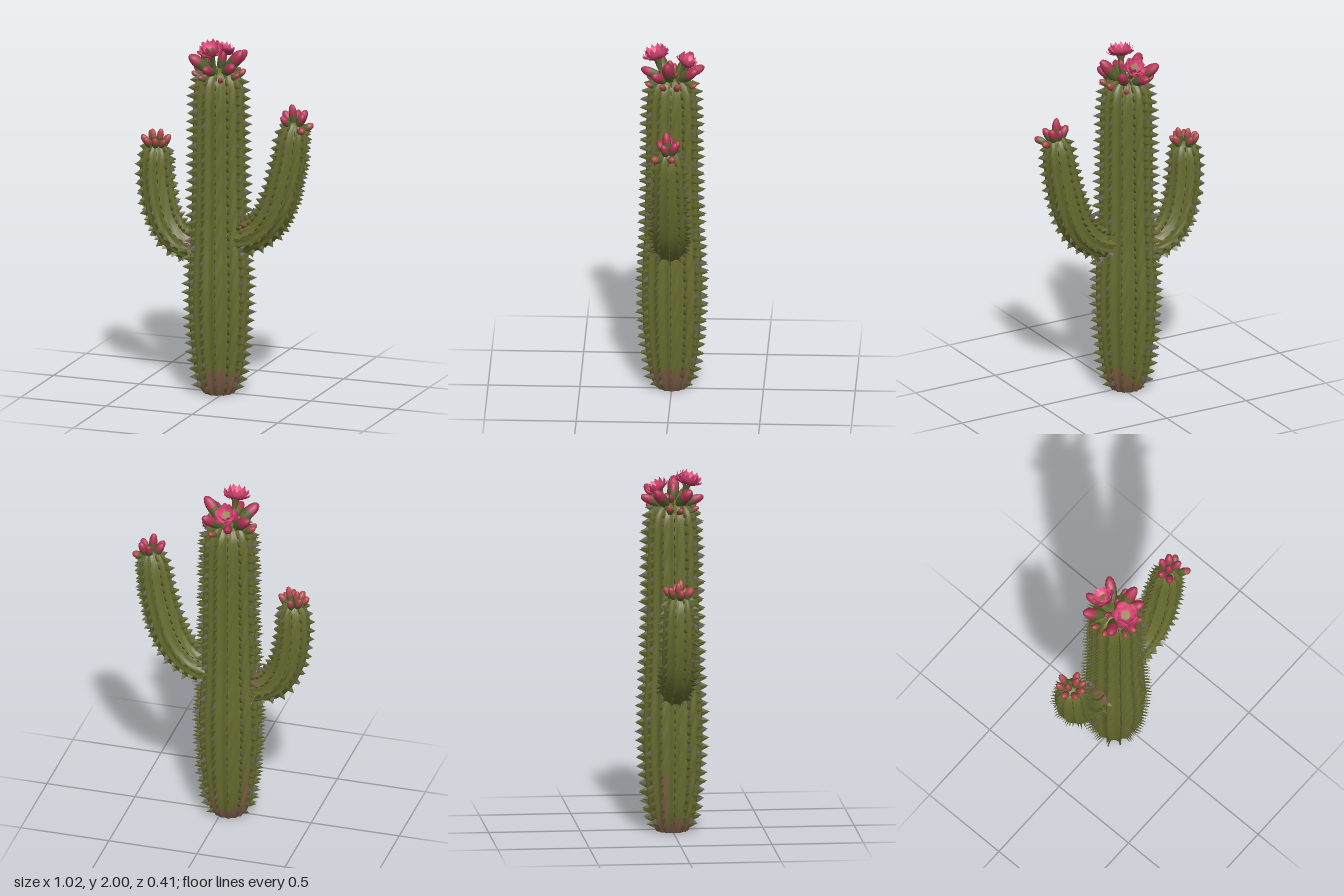
import * as THREE from 'three';
import { mergeGeometries } from 'three/addons/utils/BufferGeometryUtils.js';

const mat = (name, color, side = THREE.FrontSide) => {
  const m = new THREE.MeshStandardMaterial({ color, side });
  m.name = name;
  return m;
};
const V = (x, y, z) => new THREE.Vector3(x, y, z);

export function createModel() {
  const skin = mat('olive skin', 0x686c2f);
  const bark = mat('dry brown bark', 0x7d5c45);
  const thornOlive = mat('olive thorn', 0x60652f);
  const thornGrey = mat('grey thorn', 0x6b6b60);
  const budGreen = mat('bud green', 0x58642f);
  const budPink = mat('bud crimson', 0xb03352);
  const budSalmon = mat('bud salmon', 0xae464a);
  const petalOuter = mat('outer petal', 0xb83360, THREE.DoubleSide);
  const petalInner = mat('inner petal', 0xe84c7c, THREE.DoubleSide);
  const heart = mat('flower heart', 0x8a7f4a);

  const root = new THREE.Group();
  root.name = 'cactus';
  const add = (parent, name, geometry, material) => {
    const mesh = new THREE.Mesh(geometry, material);
    mesh.name = name;
    parent.add(mesh);
    return mesh;
  };

  // Ribbed stem along a planar path of [x, y, radius]; isDry(p) picks the bark areas
  function stem(name, path, ribs, rows, depth, isDry, thorn) {
    const group = new THREE.Group();
    group.name = name;
    root.add(group);
    const curve = new THREE.CatmullRomCurve3(path.map(([x, y, r]) => V(x, y, r)));
    const frame = (u) => {
      const p = curve.getPointAt(u), t = curve.getTangentAt(u);
      t.z = 0;
      t.normalize();
      return { c: V(p.x, p.y, 0), r: Math.max(p.z, 0.001), t };
    };
    const outward = (t, a) => V(t.y * Math.cos(a), -t.x * Math.cos(a), Math.sin(a));
    const cols = ribs * 6, pts = [];
    for (let i = 0; i <= rows; i++) {
      const f = frame(i / rows);
      for (let j = 0; j < cols; j++) {
        const a = (j / cols) * Math.PI * 2;
        const ridge = Math.abs(Math.sin((a * ribs) / 2)) ** 1.5;
        const wobble = 1 + 0.012 * Math.sin(i * 0.9 + j * 1.7);
        pts.push(outward(f.t, a).multiplyScalar(f.r * (1 - depth * ridge) * wobble).add(f.c));
      }
    }
    const green = [], dry = [];
    for (let i = 0; i < rows; i++) for (let j = 0; j < cols; j++) {
      const k = (j + 1) % cols, a = i * cols + j, c = i * cols + k;
      (isDry(pts[a]) ? dry : green).push(a, a + cols, c, c, a + cols, c + cols);
    }
    const g = new THREE.BufferGeometry().setFromPoints(pts);
    g.setIndex([...green, ...dry]);
    g.addGroup(0, green.length, 0);
    g.addGroup(green.length, dry.length, 1);
    g.computeVertexNormals();
    add(group, name + 'Body', g, [skin, bark]);

    // Narrow thorns along every rib crest, some of them withered grey
    const count = Math.floor(curve.getLength() / 0.047);
    const sets = [[], []];
    for (let rib = 0; rib < ribs; rib++) for (let i = 1; i < count; i++) {
      const f = frame((i + (rib % 2) * 0.5) / count);
      if (f.r < thorn * 1.6) continue;
      const grey = (i * 3 + rib * 5) % 4 === 0 ? 1 : 0;
      const out = outward(f.t, (rib / ribs) * Math.PI * 2);
      const side = out.clone().cross(f.t);
      const size = thorn * (0.85 + 0.3 * Math.abs(Math.sin(i * 2.3 + rib * 4.1)));
      const m = new THREE.Matrix4().makeBasis(
        side.multiplyScalar(grey ? 0.0025 : 0.005), out.clone().multiplyScalar(size + 0.008), f.t.clone().multiplyScalar(0.024));
      m.setPosition(f.c.clone().addScaledVector(out, f.r + size / 2 - 0.006));
      const cone = new THREE.ConeGeometry(1, 1, 4, 1, true).toNonIndexed().applyMatrix4(m);
      cone.computeVertexNormals();
      sets[grey].push(cone);
    }
    add(group, name + 'OliveThorns', mergeGeometries(sets[0]), thornOlive);
    add(group, name + 'GreyThorns', mergeGeometries(sets[1]), thornGrey);
  }

  // Trunk, with a dry foot and a dry streak at the back
  const X = -0.035;
  const dryFoot = (p) => p.y < 0.095 + 0.035 * Math.sin(p.x * 20 + p.z * 6 + 0.6) + 0.014 * Math.sin(p.z * 70)
    || (p.x < -0.1 && Math.abs(p.z + 0.05) < 0.018 && p.y < 0.33);
  stem('trunk', [[X, 0, 0.088], [X, 0.04, 0.108], [X, 0.12, 0.13], [X, 0.3, 0.153], [X, 0.6, 0.166], [X, 0.9, 0.153],
    [X, 1.2, 0.145], [X, 1.5, 0.142], [X, 1.7, 0.135], [X, 1.77, 0.118], [X, 1.81, 0.08], [X, 1.825, 0.04], [X, 1.83, 0]],
  14, 90, 0.1, dryFoot, 0.039);
  const base = add(root, 'trunkBase', new THREE.CircleGeometry(0.087, 28), bark);
  base.rotation.x = Math.PI / 2;
  base.position.set(X, 0.001, 0);

  // Arms, dry on top where they leave the trunk
  stem('rightArm', [[-0.1, 0.8, 0.07], [-0.2, 0.805, 0.08], [-0.28, 0.845, 0.087], [-0.345, 0.93, 0.09],
    [-0.385, 1.06, 0.091], [-0.402, 1.2, 0.088], [-0.402, 1.31, 0.078], [-0.4, 1.355, 0.055], [-0.4, 1.37, 0.03], [-0.4, 1.375, 0]],
  11, 44, 0.09, (p) => p.x > -0.21 && p.y > 0.82, 0.029);
  stem('leftArm', [[0.03, 0.87, 0.08], [0.13, 0.89, 0.088], [0.22, 0.945, 0.093], [0.295, 1.05, 0.096],
    [0.345, 1.2, 0.094], [0.38, 1.36, 0.088], [0.398, 1.49, 0.077], [0.406, 1.545, 0.052], [0.41, 1.562, 0.03], [0.411, 1.567, 0]],
  11, 50, 0.09, (p) => p.x < 0.13 && p.y > 0.92 && p.z > 0.02, 0.029);

  // Bud: a long green calyx and a coloured tip, from base point to tip point
  function bud(parent, from, to, r, tipMat) {
    const g = new THREE.Group();
    g.name = 'bud';
    const dir = to.clone().sub(from), len = dir.length();
    const shape = (pts) => new THREE.LatheGeometry(pts.map(([x, y]) => new THREE.Vector2(x * r, y * len)), 8);
    add(g, 'budCalyx', shape([[0.45, 0], [0.75, 0.15], [1, 0.36], [1.03, 0.58]]), budGreen);
    add(g, 'budTip', shape([[1, 0.56], [0.98, 0.7], [0.8, 0.84], [0.48, 0.95], [0, 1]]), tipMat);
    g.position.copy(from);
    g.quaternion.setFromUnitVectors(V(0, 1, 0), dir.normalize());
    parent.add(g);
  }
  // Cluster of buds fanning out of a crown; each entry is tip [x, y, z, radius]
  function crown(name, center, spread, tips, tipMat) {
    const g = new THREE.Group();
    g.name = name;
    root.add(g);
    for (const [x, y, z, r] of tips) {
      const from = V(center.x + (x - center.x) * spread, center.y, center.z + (z - center.z) * spread);
      bud(g, from, V(x, y, z), r, tipMat);
    }
  }
  crown('trunkBuds', V(X, 1.805, 0), 0.28, [
    [-0.178, 1.905, -0.105, 0.031], [0.075, 1.9, -0.14, 0.029], [-0.075, 1.865, -0.175, 0.026],
    [0.11, 1.94, 0.025, 0.032], [0.09, 1.87, 0.1, 0.029], [-0.175, 1.905, 0.09, 0.032],
    [-0.005, 1.925, 0.01, 0.02], [-0.1, 1.87, -0.015, 0.015], [-0.06, 1.855, 0.17, 0.026],
    [0.02, 1.86, -0.03, 0.014]], budPink);
  crown('trunkSideBuds', V(X, 1.77, 0), 0.6, [
    [-0.19, 1.82, -0.03, 0.018], [-0.18, 1.8, 0.04, 0.016], [0.105, 1.82, -0.04, 0.018],
    [0.03, 1.8, 0.14, 0.015], [-0.1, 1.8, 0.14, 0.015], [0.04, 1.8, -0.135, 0.015], [0.1, 1.815, 0.055, 0.016]], budSalmon);
  crown('rightArmBuds', V(-0.4, 1.34, 0), 0.35, [
    [-0.482, 1.41, 0.01, 0.02], [-0.455, 1.425, -0.055, 0.02], [-0.4, 1.42, -0.08, 0.019],
    [-0.325, 1.42, -0.015, 0.02], [-0.365, 1.455, 0.015, 0.019], [-0.425, 1.445, -0.005, 0.018],
    [-0.44, 1.41, 0.07, 0.02], [-0.38, 1.41, 0.075, 0.019], [-0.335, 1.4, 0.045, 0.017]], budSalmon);
  crown('leftArmBuds', V(0.41, 1.53, 0), 0.25, [
    [0.34, 1.62, -0.005, 0.023], [0.395, 1.665, 0.015, 0.023], [0.46, 1.625, -0.04, 0.023],
    [0.468, 1.615, 0.03, 0.022], [0.35, 1.6, 0.06, 0.021], [0.41, 1.62, -0.055, 0.02]], budPink);
  crown('leftArmSideBuds', V(0.42, 1.52, 0.01), 0.35, [
    [0.505, 1.55, -0.03, 0.02], [0.49, 1.54, 0.09, 0.021]], budSalmon);

  // Petal: a plane bent into a pointed, upturned blade
  function petal(reach, rise, width) {
    const g = new THREE.PlaneGeometry(1, 1, 2, 4), p = g.attributes.position;
    for (let i = 0; i < p.count; i++) {
      const s = p.getY(i) + 0.5, x = p.getX(i);
      const w = width * (s > 0.99 ? 0 : 0.45 + 0.65 * Math.sin(Math.PI * s * 0.85));
      p.setXYZ(i, x * w, rise * s ** 1.4 + Math.abs(x) * 0.006, 0.012 + reach * Math.sin((s * Math.PI) / 2));
    }
    g.computeVertexNormals();
    return g;
  }
  // Open flower: slim stalk, three cupped petal rings and a heart
  function flower(name, foot, head, size) {
    const g = new THREE.Group();
    g.name = name;
    const axis = head.clone().sub(foot), len = axis.length();
    const stalk = [[0.012, -len], [0.012, -len * 0.5], [0.018, -0.014], [0.026, 0.002]];
    add(g, 'flowerStalk', new THREE.LatheGeometry(stalk.map(([x, y]) => new THREE.Vector2(x, y)), 8), budGreen);
    const rings = [[0.059, 0.028, 0.036, petalOuter], [0.053, 0.05, 0.034, petalInner], [0.038, 0.068, 0.026, petalInner]];
    rings.forEach(([reach, rise, width, m], k) => {
      const blades = [];
      for (let i = 0; i < 10; i++)
        blades.push(petal(reach * (i % 2 ? 0.9 : 1.08), rise, width).rotateY(((i + k * 0.5) / 10) * Math.PI * 2));
      add(g, 'petalRing', mergeGeometries(blades), m);
    });
    add(g, 'flowerHeart', new THREE.CylinderGeometry(0.026, 0.016, 0.02, 8).translate(0, 0.018, 0), heart);
    g.position.copy(head);
    g.quaternion.setFromUnitVectors(V(0, 1, 0), axis.normalize());
    g.scale.setScalar(size);
    root.add(g);
  }
  flower('frontFlower', V(-0.04, 1.81, 0.05), V(-0.047, 1.918, 0.08), 1.02);
  flower('backFlower', V(-0.038, 1.82, -0.03), V(-0.04, 1.885, -0.07), 0.88);

  return root;
}
